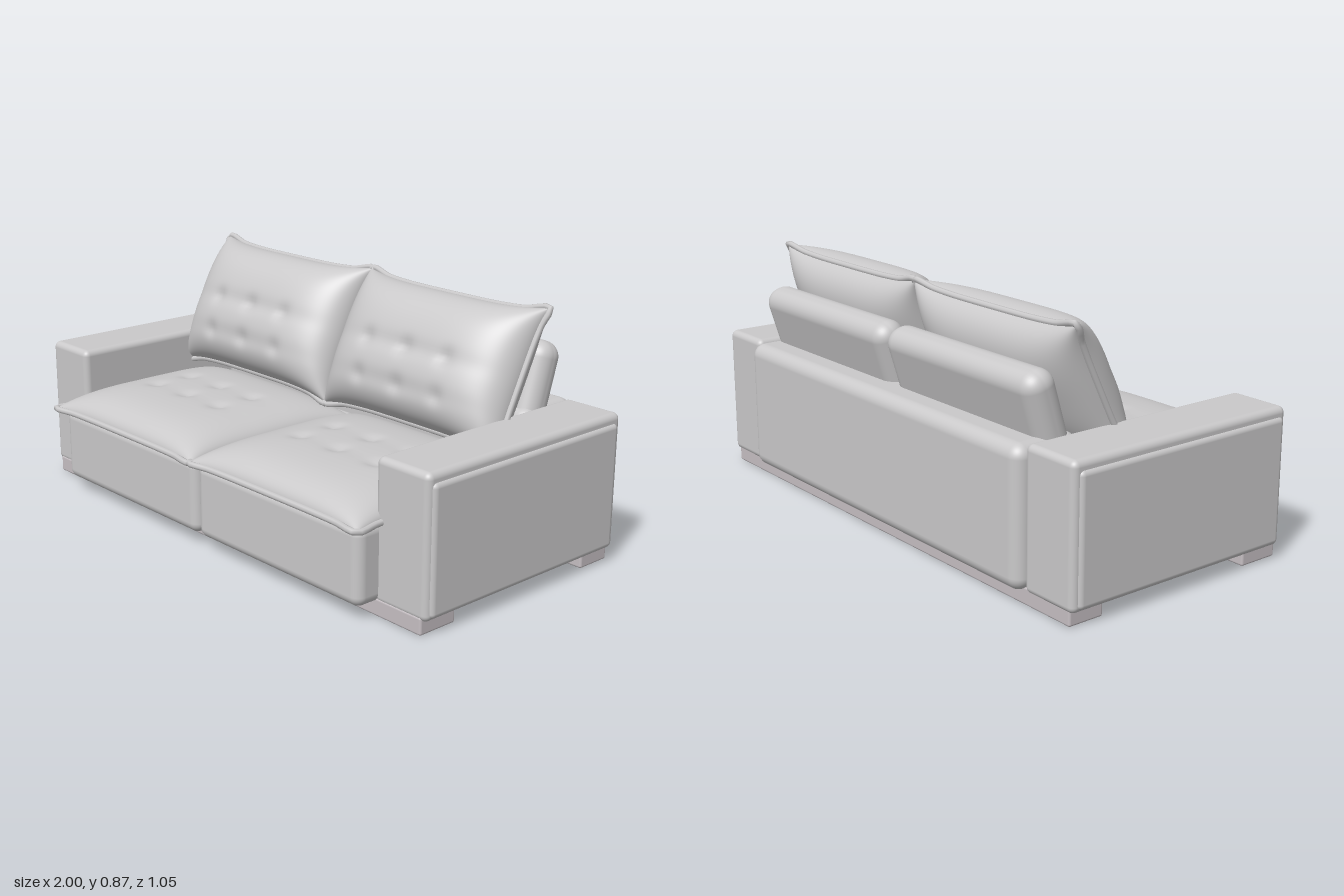
import * as THREE from 'three';
import { RoundedBoxGeometry } from 'three/addons/geometries/RoundedBoxGeometry.js';

const fabric = new THREE.MeshStandardMaterial({ color: 0xcac9ca });
fabric.name = 'grey upholstery';
const plinth = new THREE.MeshStandardMaterial({ color: 0xc6bfc3 });
plinth.name = 'plinth grey';

// Soft-edged block given by its extents
function block(name, [x0, x1], [y0, y1], [z0, z1], radius, material = fabric) {
  const geometry = new RoundedBoxGeometry(x1 - x0, y1 - y0, z1 - z0, 5, radius);
  const mesh = new THREE.Mesh(geometry, material);
  mesh.position.set((x0 + x1) / 2, (y0 + y1) / 2, (z0 + z1) / 2);
  mesh.name = name;
  return mesh;
}

// Stuffed cushion in the xy plane, facing +z: two puffed faces and a piped seam.
function cushion(name, o) {
  const group = new THREE.Group();
  group.name = name;
  const bell = (d, s) => Math.exp(-(d * d) / (s * s));

  // Outline with pulled-out corners; u and v run from -1 to 1
  const outline = (u, v) => [
    u * (o.halfW - o.bowX * (1 - v ** 4)),
    v * (o.halfH - o.bowY * (1 - u ** 4)),
  ];

  const face = (side, thickness, tufted) => {
    const geometry = new THREE.PlaneGeometry(2, 2, 64, 56);
    const p = geometry.attributes.position;
    for (let i = 0; i < p.count; i++) {
      const u = Math.sin(p.getX(i) * Math.PI / 2);
      const v = Math.sin(p.getY(i) * Math.PI / 2);
      const [x, y] = outline(u, v);
      const puff = Math.sqrt(Math.max(0, (1 - u ** 4) * (1 - Math.abs(v) ** o.power)));
      let dent = 0;
      if (tufted) {
        for (const row of o.rows) {
          dent += o.groove * bell(y - row, 0.03) * bell(x, 0.28);
          for (const col of [-0.18, 0, 0.18]) dent += 0.013 * bell(Math.hypot(x - col, y - row), 0.028);
        }
      }
      p.setXYZ(i, x * side, y, side * (thickness - dent) * puff);
    }
    geometry.computeVertexNormals();
    return new THREE.Mesh(geometry, fabric);
  };
  const front = face(1, o.front, true);
  front.name = 'tuftedFace';
  const back = face(-1, o.back, false);
  back.name = 'plainFace';

  // Piping around the seam
  const points = [];
  const corners = [[-1, -1], [1, -1], [1, 1], [-1, 1]];
  corners.forEach(([u, v], i) => {
    const [nu, nv] = corners[(i + 1) % 4];
    for (let k = 0; k < 8; k++) {
      const t = k / 8;
      points.push(new THREE.Vector3(...outline(u + (nu - u) * t, v + (nv - v) * t), 0));
    }
  });
  const path = new THREE.CatmullRomCurve3(points, true);
  const piping = new THREE.Mesh(new THREE.TubeGeometry(path, 128, 0.011, 8, true), fabric);
  piping.name = 'piping';

  group.add(front, back, piping);
  return group;
}

export function createModel() {
  const sofa = new THREE.Group();
  sofa.name = 'sofa';

  // Body between the arms
  sofa.add(
    block('underside', [-0.96, 0.96], [0.04, 0.1], [-0.47, 0.39], 0.01),
    block('backPanel', [-0.78, 0.78], [0.045, 0.51], [-0.525, -0.27], 0.045),
    block('frontRail', [-0.97, 0.97], [0, 0.06], [0.25, 0.4], 0.008, plinth),
    block('backRail', [-0.97, 0.97], [0, 0.06], [-0.482, -0.35], 0.008, plinth),
  );

  for (const s of [-1, 1]) {
    const side = s > 0 ? 'left' : 'right';
    const span = (a, b) => (s > 0 ? [a, b] : [-b, -a]);

    // Arm with a padded outer panel
    sofa.add(
      block(side + 'Arm', span(0.77, 0.99), [0.045, 0.515], [-0.49, 0.4], 0.022),
      block(side + 'ArmPanel', span(0.95, 1), [0.055, 0.485], [-0.47, 0.385], 0.018),
      block(side + 'SeatBase', span(0.002, 0.79), [0.045, 0.31], [-0.3, 0.485], 0.035),
    );

    // Seat cushion, lying flat
    const seat = cushion(side + 'SeatCushion', {
      halfW: 0.408, halfH: 0.37, bowX: 0.015, bowY: 0.012, power: 4,
      front: 0.09, back: 0.045, rows: [-0.07, 0.08], groove: 0.002,
    });
    seat.rotation.x = -Math.PI / 2;
    seat.position.set(s * 0.402, 0.313, 0.14);
    sofa.add(seat);

    // Back cushion, leaning backwards
    const back = cushion(side + 'BackCushion', {
      halfW: 0.408, halfH: 0.255, bowX: 0.018, bowY: 0.026, power: 3,
      front: 0.15, back: 0.125, rows: [-0.13, 0], groove: 0.008,
    });
    back.rotation.x = -0.464;
    back.position.set(s * 0.402, 0.625, -0.213);
    sofa.add(back);

    // Bolster supporting the back cushion
    const bolster = block(side + 'Bolster', span(0.002, 0.77), [0.4, 0.72], [-0.435, -0.315], 0.055);
    bolster.rotation.x = -0.3;
    sofa.add(bolster);
  }
  return sofa;
}
